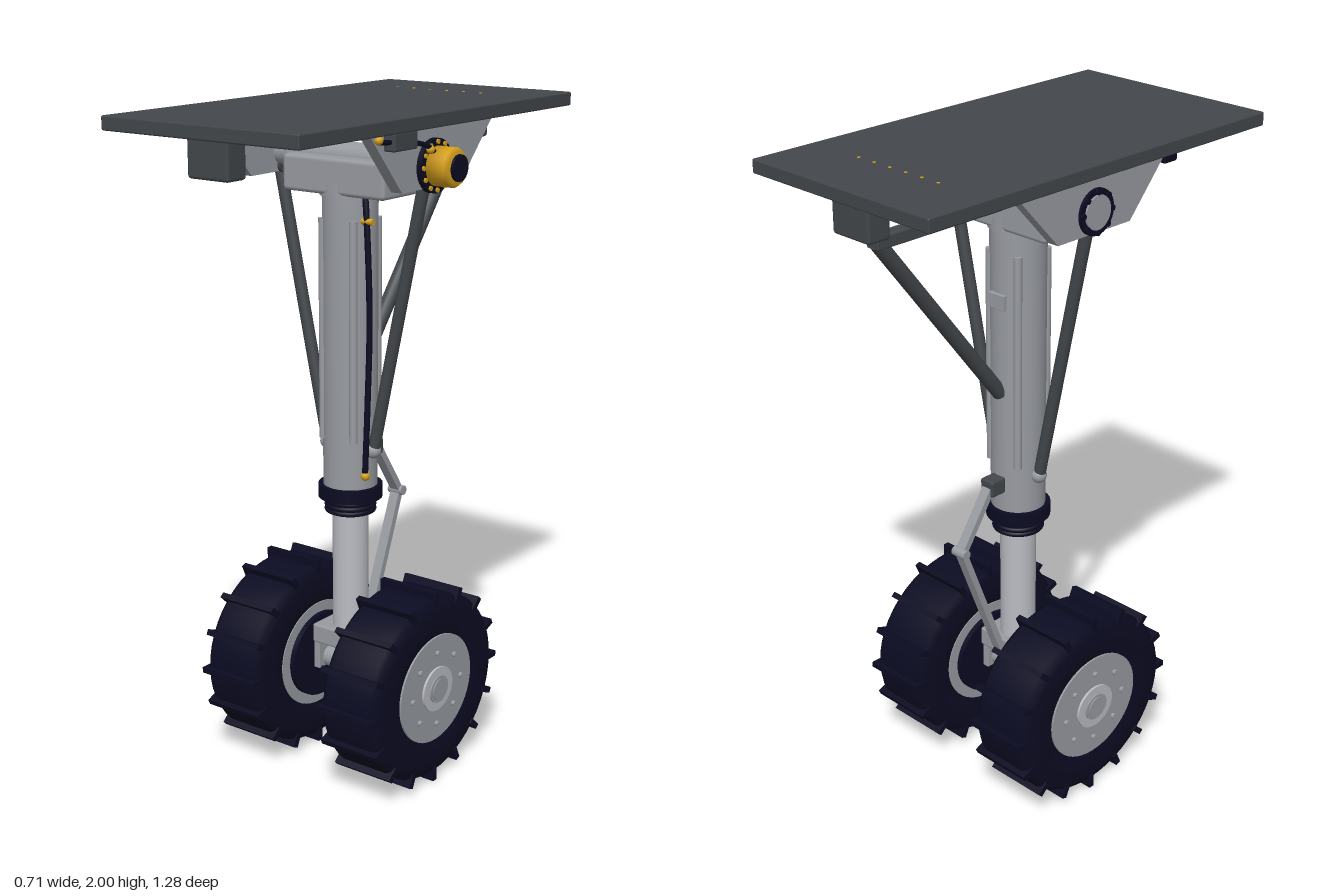
import * as THREE from 'three';
import { RoundedBoxGeometry } from 'three/addons/geometries/RoundedBoxGeometry.js';

const mat = (name, color) => {
  const m = new THREE.MeshStandardMaterial({ color });
  m.name = name;
  return m;
};
const V = (x, y, z) => new THREE.Vector3(x, y, z);

export function createModel() {
  const charcoal = mat('charcoal', 0x43474b);
  const steel = mat('steel grey', 0x989ba1);
  const chrome = mat('pale chrome', 0xbabcc3);
  const rubber = mat('navy rubber', 0x0b0b22);
  const amber = mat('amber', 0xd6a01c);

  const root = new THREE.Group();
  root.name = 'landingGear';
  const gear = new THREE.Group();
  gear.name = 'gearAssembly';
  gear.position.x = -0.02;
  root.add(gear);

  const add = (name, geo, material, x = 0, y = 0, z = 0, parent = gear) => {
    const m = new THREE.Mesh(geo, material);
    m.name = name;
    m.position.set(x, y, z);
    parent.add(m);
    return m;
  };
  // Softened box given by its size
  const box = (name, material, w, h, d, x, y, z, parent) =>
    add(name, new RoundedBoxGeometry(w, h, d, 1, Math.min(w, h, d) * 0.12), material, x, y, z, parent);
  // Upright cylinder between two heights
  const post = (name, material, r, y0, y1, x = 0, z = 0) =>
    add(name, new THREE.CylinderGeometry(r, r, y1 - y0, 32), material, x, (y0 + y1) / 2, z);
  // Cylinder along x between two positions
  const barrel = (name, material, r, x0, x1, y, z, parent, seg = 32) =>
    add(name, new THREE.CylinderGeometry(r, r, Math.abs(x1 - x0), seg).rotateZ(Math.PI / 2),
      material, (x0 + x1) / 2, y, z, parent);
  // Bar between two points
  const span = (name, geoOf, material, a, b) => {
    const d = b.clone().sub(a);
    const m = add(name, geoOf(d.length()), material);
    m.position.copy(a).add(b).multiplyScalar(0.5);
    m.quaternion.setFromUnitVectors(V(0, 1, 0), d.normalize());
    return m;
  };
  const rod = (name, material, r, a, b) =>
    span(name, l => new THREE.CylinderGeometry(r, r, l, 16), material, a, b);
  const ball = (name, material, r, x, y, z) =>
    add(name, new THREE.SphereGeometry(r, 16, 12), material, x, y, z);

  // Mounting plate with stop blocks and fasteners
  box('mountingPlate', charcoal, 0.67, 0.04, 1.28, 0, 1.98, 0);
  for (const s of [-1, 1]) {
    box('stopBlock', charcoal, 0.14, 0.11, 0.075, 0, 1.908, s * 0.563);
    for (let i = 0; i < 6; i++) {
      const x = -0.155 + i * 0.06;
      const bolt = new THREE.CylinderGeometry(0.005, 0.005, s < 0 ? 0.052 : 0.016, 8);
      add('plateBolt', bolt, s < 0 ? amber : steel, x, s < 0 ? 1.9755 : 1.955, s * 0.44);
    }
  }
  box('valveBox', rubber, 0.07, 0.06, 0.055, -0.22, 1.932, 0.338);
  box('junctionBox', charcoal, 0.045, 0.05, 0.105, 0.295, 1.935, 0.17);

  // Trapezoid side brackets
  const trap = new THREE.Shape([[-0.14, 1.79], [0.14, 1.79], [0.29, 1.962], [-0.3, 1.962]]
    .map(p => new THREE.Vector2(...p)));
  for (const s of [-1, 1]) {
    const g = new THREE.ExtrudeGeometry(trap, { depth: 0.036, bevelEnabled: false });
    g.translate(0, 0, -0.018).rotateY(-Math.PI / 2);
    add('sideBracket', g, steel, s * 0.264, 0, 0);
  }

  // Trunnion
  barrel('trunnionShaft', steel, 0.042, -0.28, 0.28, 1.85, 0);
  box('trunnionBlock', steel, 0.36, 0.105, 0.17, 0, 1.803, 0);
  barrel('bearingRing', rubber, 0.065, -0.29, -0.27, 1.85, 0);
  barrel('bearingCap', steel, 0.048, -0.295, -0.27, 1.85, 0);
  for (let i = 0; i < 8; i++) {
    const a = i * Math.PI / 4;
    barrel('bearingBolt', rubber, 0.009, -0.296, -0.28, 1.85 + 0.056 * Math.cos(a), 0.056 * Math.sin(a), gear, 8);
  }

  // Rotary actuator
  barrel('actuatorFlange', rubber, 0.075, 0.28, 0.298, 1.85, 0);
  for (let i = 0; i < 12; i++) {
    const a = i * Math.PI / 6;
    barrel('flangeBolt', amber, 0.007, 0.29, 0.303, 1.85 + 0.066 * Math.cos(a), 0.066 * Math.sin(a), gear, 8);
  }
  add('actuatorBody', new THREE.LatheGeometry(
    [[0, 0.295], [0.055, 0.295], [0.055, 0.355], [0.046, 0.367], [0, 0.367]]
      .map(p => new THREE.Vector2(...p)), 24).rotateZ(-Math.PI / 2), amber, 0, 1.85, 0);
  barrel('actuatorCap', rubber, 0.037, 0.36, 0.375, 1.85, 0);

  // Actuator feed line and fittings
  const feed = new THREE.CatmullRomCurve3([V(0.3, 1.94, 0.27), V(0.305, 1.925, 0.12), V(0.31, 1.91, 0.06), V(0.31, 1.89, 0.03)]);
  add('feedLine', new THREE.TubeGeometry(feed, 16, 0.007, 8), rubber);
  ball('feedFitting', amber, 0.012, 0.3, 1.945, 0.27);
  ball('feedFitting', amber, 0.012, 0.31, 1.9, 0.05);

  // Main strut: outer cylinder, ribs, seal and piston
  post('outerCylinder', steel, 0.081, 0.87, 1.77);
  post('topCollar', steel, 0.087, 1.745, 1.785);
  for (const sx of [-1, 1]) for (const sz of [-1, 1]) {
    post('cylinderRib', steel, 0.012, 1.03, 1.68, sx * 0.055, sz * 0.058);
  }
  box('dataPlate', steel, 0.06, 0.045, 0.014, 0, 1.543, -0.083);
  post('sealCollar', rubber, 0.096, 0.845, 0.885);
  post('sealCore', rubber, 0.068, 0.8, 0.85);
  for (const y of [0.835, 0.82, 0.806]) {
    add('sealRing', new THREE.TorusGeometry(0.07, 0.008, 8, 32).rotateX(Math.PI / 2), rubber, 0, y, 0);
  }
  post('piston', chrome, 0.054, 0.41, 0.82);

  // Side struts
  for (const s of [-1, 1]) {
    rod('sideStrut', charcoal, 0.018, V(s * 0.262, 1.83, 0), V(s * 0.088, 1.01, 0));
    ball('sideStrutFoot', steel, 0.024, s * 0.084, 1.0, 0);
    barrel('sideStrutPin', charcoal, 0.026, s * 0.235, s * 0.288, 1.81, 0);
  }

  // Rear drag brace
  box('dragBeam', charcoal, 0.045, 0.036, 0.45, 0, 1.827, -0.305);
  rod('dragBrace', charcoal, 0.022, V(0, 1.825, -0.515), V(0, 1.26, -0.075));

  // Torque links
  const link = l => new THREE.BoxGeometry(0.032, l, 0.02);
  box('linkBracket', charcoal, 0.05, 0.05, 0.055, 0, 0.973, -0.104);
  span('upperTorqueLink', link, steel, V(0, 0.975, -0.12), V(0, 0.8, -0.237));
  span('lowerTorqueLink', link, steel, V(0, 0.8, -0.237), V(0, 0.41, -0.085));
  barrel('linkPin', steel, 0.015, -0.025, 0.025, 0.8, -0.237);

  // Hydraulic line down the strut
  const line = new THREE.CatmullRomCurve3([V(0.075, 1.76, 0.03), V(0.085, 1.68, 0.035), V(0.092, 1.4, 0.03), V(0.09, 1.15, 0.036), V(0.083, 0.94, 0.038)]);
  add('hydraulicLine', new THREE.TubeGeometry(line, 40, 0.009, 8), rubber);
  barrel('lineFitting', amber, 0.009, 0.07, 0.108, 1.68, 0.035);
  ball('lineFitting', amber, 0.014, 0.083, 0.93, 0.037);

  // Axle fork
  const hubY = 0.304;
  box('forkCrown', steel, 0.18, 0.06, 0.15, 0, 0.402, 0);
  for (const s of [-1, 1]) {
    box('forkArm', steel, 0.022, 0.12, 0.1, s * 0.093, 0.335, 0);
  }
  barrel('axle', steel, 0.033, -0.335, 0.335, hubY, 0);

  // Wheels, slightly flattened under load
  const tyreProfile = [[0.165, -0.085], [0.18, -0.095], [0.225, -0.1], [0.27, -0.099], [0.298, -0.092], [0.307, -0.078],
    [0.307, 0.078], [0.298, 0.092], [0.27, 0.099], [0.225, 0.1], [0.18, 0.095], [0.165, 0.085]]
    .map(p => new THREE.Vector2(...p));
  for (const s of [-1, 1]) {
    const wheel = new THREE.Group();
    wheel.name = s > 0 ? 'leftWheel' : 'rightWheel';
    wheel.position.set(s * 0.22, hubY, 0);
    if (s < 0) wheel.rotation.y = Math.PI;
    wheel.scale.y = 0.92;
    gear.add(wheel);

    add('tyre', new THREE.LatheGeometry(tyreProfile, 48).rotateZ(-Math.PI / 2), rubber, 0, 0, 0, wheel);
    barrel('rim', steel, 0.18, -0.098, 0.101, 0, 0, wheel, 48);
    barrel('hubRing', chrome, 0.074, 0.09, 0.108, 0, 0, wheel);
    barrel('hubGroove', steel, 0.045, 0.1, 0.112, 0, 0, wheel);
    barrel('brakeDisc', rubber, 0.145, -0.114, -0.09, 0, 0, wheel, 48);
    for (let i = 0; i < 8; i++) {
      const a = i * Math.PI / 4;
      barrel('wheelBolt', steel, 0.009, 0.095, 0.111, 0.123 * Math.cos(a), 0.123 * Math.sin(a), wheel, 8);
    }
    // Tread bars
    const treads = new THREE.Group();
    treads.name = 'treads';
    treads.scale.y = 1.025;
    wheel.add(treads);
    for (let i = 0; i < 16; i++) {
      const a = i * Math.PI / 8;
      const bar = add('treadBar', new THREE.BoxGeometry(0.2, 0.045, 0.018), rubber,
        0, 0.3 * Math.cos(a), 0.3 * Math.sin(a), treads);
      bar.rotation.x = a;
    }
  }
  return root;
}
